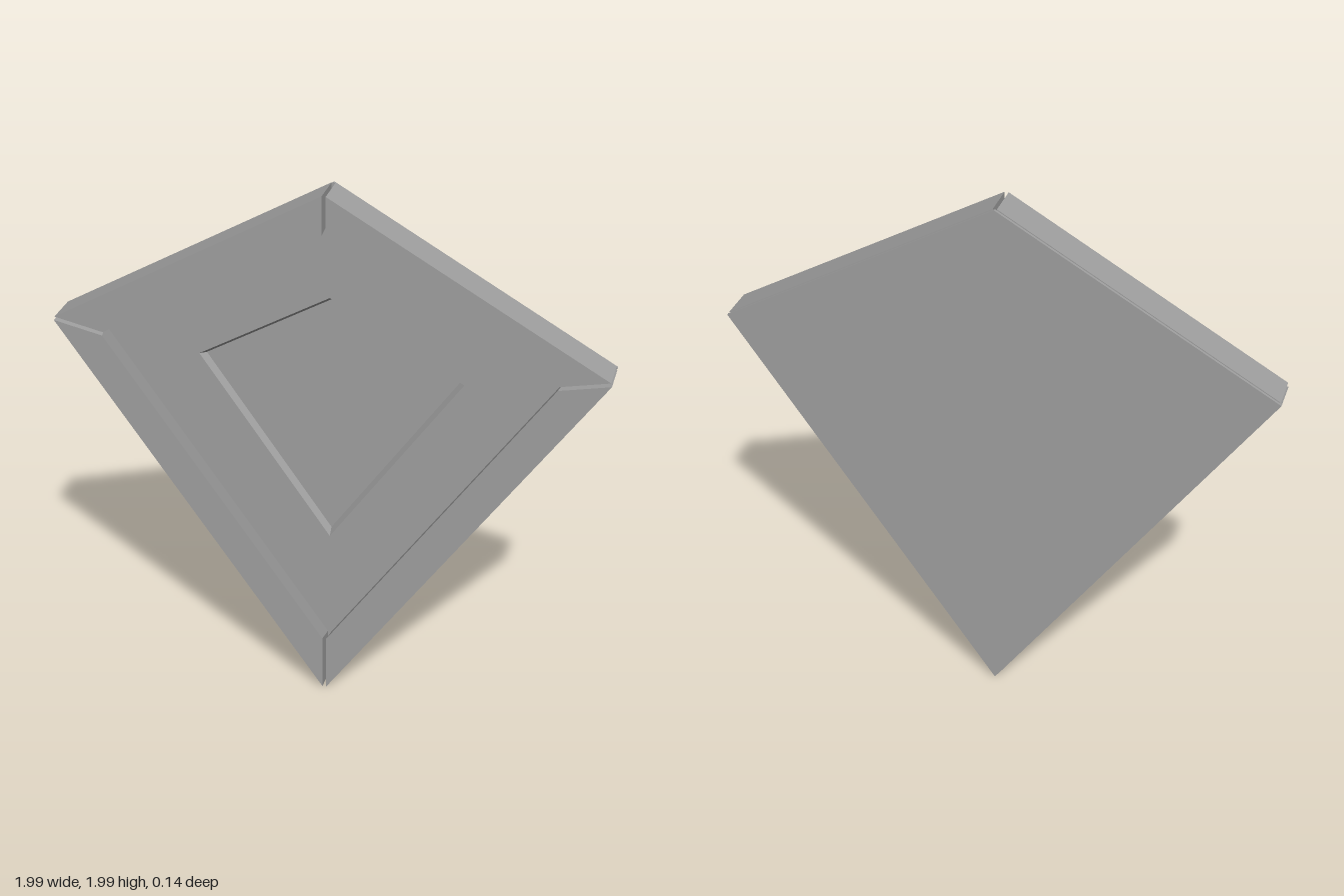
import * as THREE from 'three';

const CENTRE = 1.215;
const CORNERS = [[0, 0], [1, 1.43], [0, 2], [-1, 1.43]];

// Kite outline scaled about its centre, anticlockwise from the front
const kite = (s, z) => CORNERS.map(([x, y]) => new THREE.Vector3(x * s, CENTRE + (y - CENTRE) * s, z));

// Flat-sided skin through four-point rings, capped at both ends
function loft(rings) {
  const points = [];
  const quad = (a, b, c, d) => points.push(a, b, c, a, c, d);
  for (let i = 0; i < rings.length - 1; i++) {
    for (let j = 0; j < 4; j++) {
      const k = (j + 1) % 4;
      quad(rings[i][j], rings[i][k], rings[i + 1][k], rings[i + 1][j]);
    }
  }
  const first = rings[0], last = rings[rings.length - 1];
  quad(first[3], first[2], first[1], first[0]);
  quad(...last);
  const geometry = new THREE.BufferGeometry().setFromPoints(points);
  geometry.computeVertexNormals();
  return geometry;
}

export function createModel() {
  const group = new THREE.Group();
  const grey = new THREE.MeshStandardMaterial({ color: 0xa0a0a0 });
  grey.name = 'grey';
  const add = (name, rings) => {
    const mesh = new THREE.Mesh(loft(rings), grey);
    mesh.name = name;
    group.add(mesh);
  };

  // Thin back plate
  add('backPlate', [kite(0.995, -0.07), kite(0.995, -0.06)]);

  // Sunken panel with a tapered central recess
  add('recessedPanel', [kite(0.86, -0.06), kite(0.86, -0.01), kite(0.48, -0.01), kite(0.46, -0.035)]);

  // Four mitred frame bars, slightly undercut inside, with a narrow gap at each corner
  const halfGap = 0.007;
  const section = [kite(1, -0.06), kite(0.845, -0.06), kite(0.82, 0.07), kite(1, 0.07)];
  const names = ['lowerLeftBar', 'upperLeftBar', 'upperRightBar', 'lowerRightBar'];
  names.forEach((name, i) => {
    const j = (i + 1) % 4;
    const along = section[0][j].clone().sub(section[0][i]).normalize();
    const end = (corner, sign) => {
      const mitre = section[1][corner].clone().sub(section[0][corner]).normalize();
      const shift = sign * halfGap / along.clone().cross(mitre).length();
      return section.map((ring) => ring[corner].clone().addScaledVector(along, shift));
    };
    add(name, [end(i, 1), end(j, -1)]);
  });

  return group;
}
